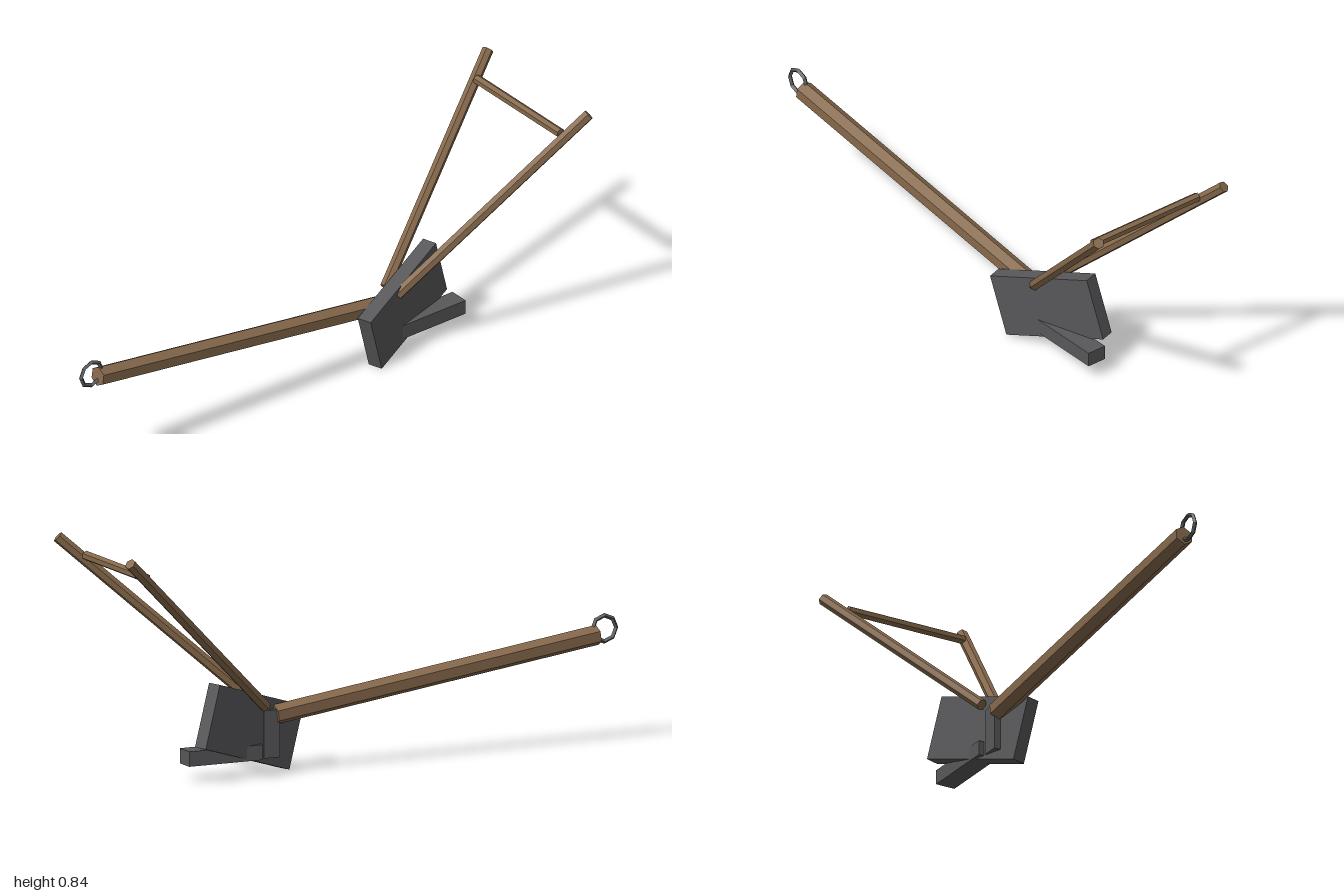
import * as THREE from 'three';

export function createModel() {
  const model = new THREE.Group();
  model.name = 'plough';

  const wood = new THREE.MeshStandardMaterial({ color: 0x85684b });
  wood.name = 'wood';
  const iron = new THREE.MeshStandardMaterial({ color: 0x58585a });
  iron.name = 'iron';
  wood.flatShading = iron.flatShading = true;

  const add = (name, geometry, material, x, y, z) => {
    const mesh = new THREE.Mesh(geometry, material);
    mesh.name = name;
    mesh.position.set(x, y, z);
    model.add(mesh);
    return mesh;
  };

  // Six-sided pole between two points; twist turns it about its own axis
  const pole = (name, from, to, radius, twist = 0) => {
    const a = new THREE.Vector3(...from);
    const b = new THREE.Vector3(...to);
    const dir = b.clone().sub(a);
    const geometry = new THREE.CylinderGeometry(radius, radius, dir.length(), 6);
    geometry.rotateY(twist);
    const mid = a.add(b).multiplyScalar(0.5);
    const mesh = add(name, geometry, wood, mid.x, mid.y, mid.z);
    mesh.quaternion.setFromUnitVectors(new THREE.Vector3(0, 1, 0), dir.normalize());
  };

  // Wooden frame
  pole('beam', [0, 0.2, -0.3], [0, 0.37, 0.92], 0.035);
  for (const [name, s] of [['leftHandle', 1], ['rightHandle', -1]]) {
    pole(name, [s * 0.032, 0.236, -0.35], [s * 0.275, 0.825, -0.985], 0.02, Math.PI / 6);
  }
  pole('handleCrossbar', [-0.228, 0.761, -0.9], [0.228, 0.761, -0.9], 0.0165, Math.PI / 6);

  // Angled mouldboard
  const board = add('mouldboard', new THREE.BoxGeometry(0.053, 0.224, 0.41), iron, 0, 0.168, -0.397);
  board.rotation.set(0.3, 0.3, 0, 'YXZ');

  // Sole behind the board and the post joining it to the beam
  add('sole', new THREE.BoxGeometry(0.072, 0.052, 0.28), iron, 0, 0.081, -0.502);
  add('post', new THREE.BoxGeometry(0.036, 0.165, 0.06), iron, 0, 0.1375, -0.32);

  // Hitch ring at the front of the beam
  const ring = add('hitchRing', new THREE.TorusGeometry(0.045, 0.008, 4, 8), iron, 0, 0.39, 0.947);
  ring.rotation.y = Math.PI / 2;

  return model;
}
